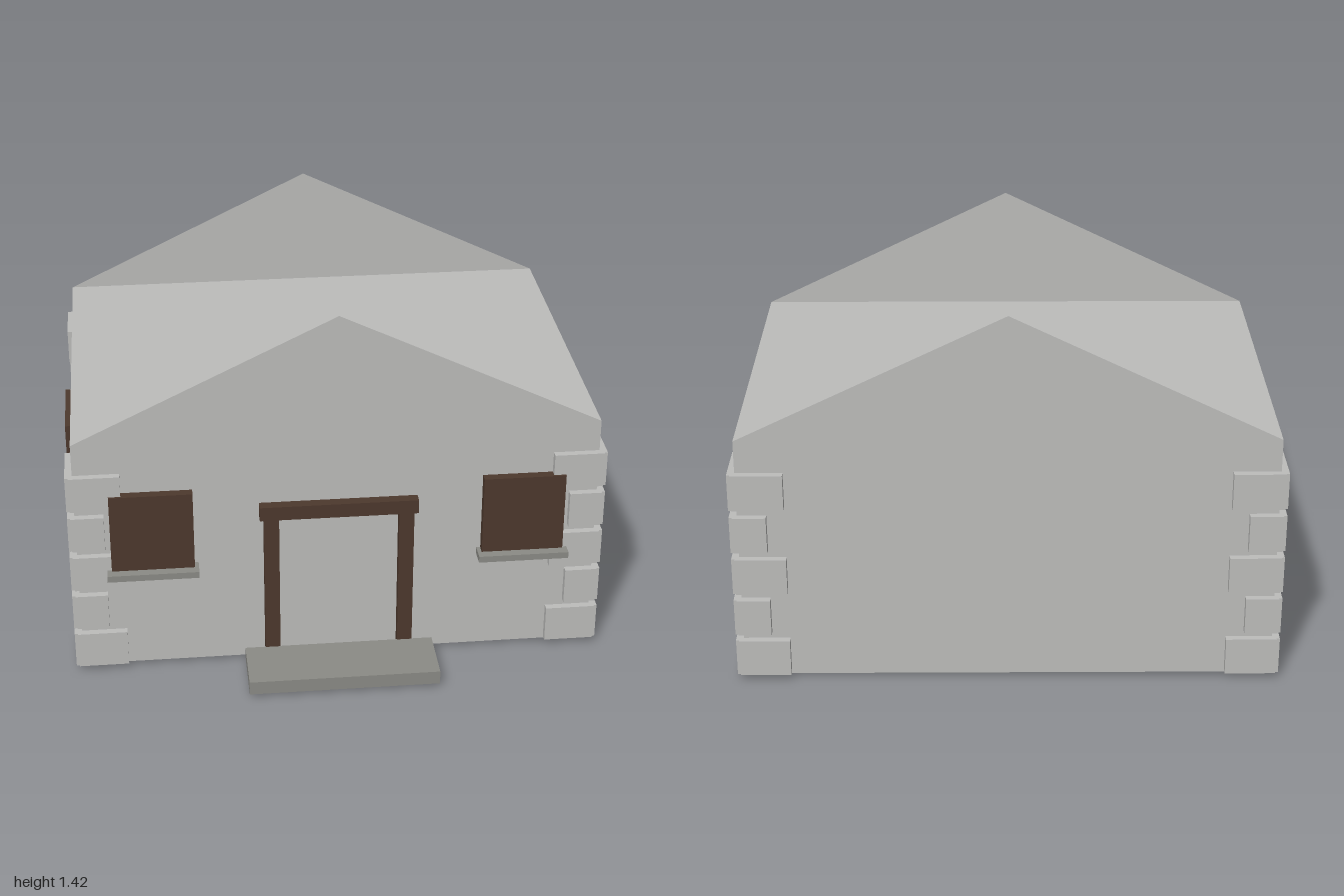
import * as THREE from 'three';

const W = 0.965, BASE = 0.015, EAVE = 0.953, PEAK = 1.42, FRONT = 0.575, BACK = -0.807;

export function createModel() {
  const model = new THREE.Group();
  model.name = 'cottage';

  const mat = (name, color, side = THREE.FrontSide) => {
    const m = new THREE.MeshStandardMaterial({ color, side });
    m.name = name;
    return m;
  };
  // one plaster colour, double sided because the gables are open sheets
  const stone = mat('pale stone', 0xbdbdbb, THREE.DoubleSide);
  const slab = mat('grey slab', 0x8b8b86);
  const wood = mat('dark wood', 0x4d392d);

  // box given by its limits on each axis
  const box = (name, material, [x0, x1], [y0, y1], [z0, z1]) => {
    const mesh = new THREE.Mesh(new THREE.BoxGeometry(Math.abs(x1 - x0), y1 - y0, Math.abs(z1 - z0)), material);
    mesh.position.set((x0 + x1) / 2, (y0 + y1) / 2, (z0 + z1) / 2);
    mesh.name = name;
    model.add(mesh);
    return mesh;
  };

  // walls with a flat top at eave height
  box('walls', stone, [-W, W], [BASE, EAVE], [BACK, FRONT]);

  // thin gables standing on the front and back walls
  const triangle = new THREE.Shape([
    new THREE.Vector2(-W, EAVE), new THREE.Vector2(W, EAVE), new THREE.Vector2(0, PEAK),
  ]);
  for (const [name, z, turn] of [['frontGable', FRONT, 0], ['backGable', BACK, Math.PI]]) {
    const gable = new THREE.Mesh(new THREE.ShapeGeometry(triangle), stone);
    gable.position.z = z;
    gable.rotation.y = turn;
    gable.name = name;
    model.add(gable);
  }

  // corner stones: two plates per course, alternating long and short
  for (const s of [-1, 1]) {
    for (const [wall, d] of [[FRONT, 1], [BACK, -1]]) {
      for (let i = 0; i < 5; i++) {
        const y = [0.023 + i * 0.1675, 0.165 + i * 0.1665];
        const long = i % 2 === 0;
        box('cornerStone', stone, [s * (long ? 0.795 : 0.86), s * 0.98], y, [wall - d * 0.01, wall + d * 0.027]);
        box('cornerStoneReturn', stone, [s * 0.95, s * 0.992], y, [wall - d * (long ? 0.175 : 0.105), wall + d * 0.02]);
      }
    }
    // shuttered windows
    box('frontWindow', wood, [s * 0.535, s * 0.84], [0.44, 0.75], [FRONT, 0.61]);
    box('windowSill', slab, [s * 0.52, s * 0.857], [0.415, 0.44], [FRONT, 0.645]);
    box('sideWindow', wood, [s * W, s * 1], [0.44, 0.75], [-0.27, 0.04]);
    box('doorPost', wood, [s * 0.222, s * 0.278], [0, 0.625], [FRONT, 0.61]);
  }

  // door head and step
  box('doorLintel', wood, [-0.293, 0.293], [0.625, 0.68], [FRONT, 0.615]);
  box('doorStep', slab, [-0.355, 0.355], [BASE, 0.068], [0.608, 0.835]);

  return model;
}
